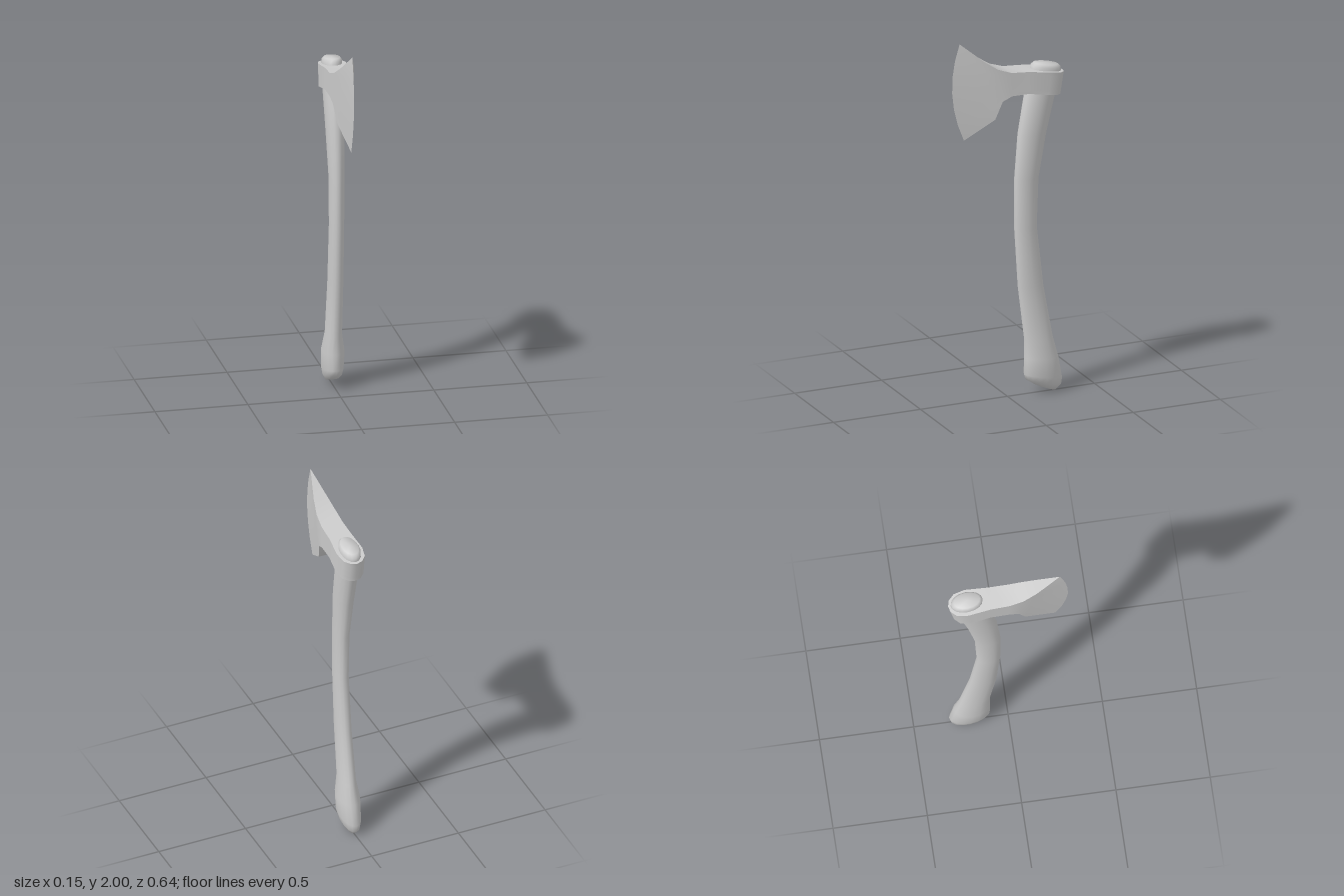
import * as THREE from 'three';
import { toCreasedNormals } from 'three/addons/utils/BufferGeometryUtils.js';

// Skin a series of closed rings (each counter-clockwise seen from the end it grows towards)
function loft(rings, crease) {
  const n = rings[0].length, index = [];
  for (let i = 0; i < rings.length - 1; i++) {
    for (let j = 0; j < n; j++) {
      const a = i * n + j, b = i * n + (j + 1) % n;
      index.push(a, b, b + n, a, b + n, a + n);
    }
  }
  const geometry = new THREE.BufferGeometry();
  geometry.setAttribute('position', new THREE.Float32BufferAttribute(rings.flat(2), 3));
  geometry.setIndex(index);
  return toCreasedNormals(geometry, crease);
}

// Elliptical handle ring between a front and a back point in the z/y plane
function handleRing([fz, fy, bz, by, w]) {
  const ring = [], sides = 16;
  for (let j = 0; j < sides; j++) {
    const a = j / sides * Math.PI * 2, t = (1 - Math.cos(a)) / 2;
    ring.push([w * Math.sin(a), fy + (by - fy) * t, fz + (bz - fz) * t]);
  }
  return ring;
}

// Upright slice of the head: up the left side, down the right side
function headRing([tz, ty, bz, by, w, bulge = 0]) {
  const side = [], rows = 6;
  for (let j = 0; j <= rows; j++) {
    const t = j / rows;
    side.push([w, by + (ty - by) * t, bz + (tz - bz) * t + bulge * 4 * t * (1 - t)]);
  }
  return [...side, ...side.slice().reverse().map(([x, y, z]) => [-x, y, z])];
}

export function createModel() {
  const group = new THREE.Group();
  const material = new THREE.MeshStandardMaterial({ color: 0xcccccc });
  const add = (name, geometry) => {
    const mesh = new THREE.Mesh(geometry, material);
    mesh.name = name;
    group.add(mesh);
  };

  // Curved handle, from knob to top: front z, front y, back z, back y, half width
  add('handle', loft([
    [-0.22, 0.02, -0.22, 0.02, 0],
    [-0.15, 0.05, -0.275, 0, 0.03],
    [-0.105, 0.08, -0.308, 0.03, 0.048],
    [-0.095, 0.11, -0.313, 0.07, 0.055],
    [-0.097, 0.2, -0.29, 0.19, 0.06],
    [-0.097, 0.3, -0.26, 0.3, 0.043],
    [-0.06, 0.6, -0.205, 0.6, 0.04],
    [-0.04, 0.93, -0.167, 0.93, 0.039],
    [-0.04, 1.2, -0.177, 1.2, 0.04],
    [-0.06, 1.45, -0.22, 1.44, 0.049],
    [-0.1, 1.68, -0.27, 1.65, 0.055],
    [-0.135, 1.8, -0.305, 1.775, 0.053],
    [-0.135, 1.825, -0.303, 1.8, 0.053],
    [-0.15, 1.838, -0.288, 1.815, 0.043],
    [-0.22, 1.828, -0.22, 1.828, 0],
  ].map(handleRing), 1.2));

  // Axe head, from eye to cutting edge: top z, top y, bottom z, bottom y, half width, bulge
  add('axeHead', loft([
    [-0.318, 1.775, -0.298, 1.652, 0],
    [-0.31, 1.777, -0.29, 1.654, 0.032],
    [-0.28, 1.782, -0.262, 1.66, 0.061],
    [-0.22, 1.794, -0.205, 1.671, 0.073],
    [-0.1, 1.812, -0.1, 1.69, 0.062],
    [0, 1.82, 0, 1.69, 0.06],
    [0.077, 1.847, 0.05, 1.665, 0.054],
    [0.15, 1.895, 0.087, 1.565, 0.038],
    [0.275, 2, 0.25, 1.46, 0, 0.055],
  ].map(headRing), 0.7));

  return group;
}
